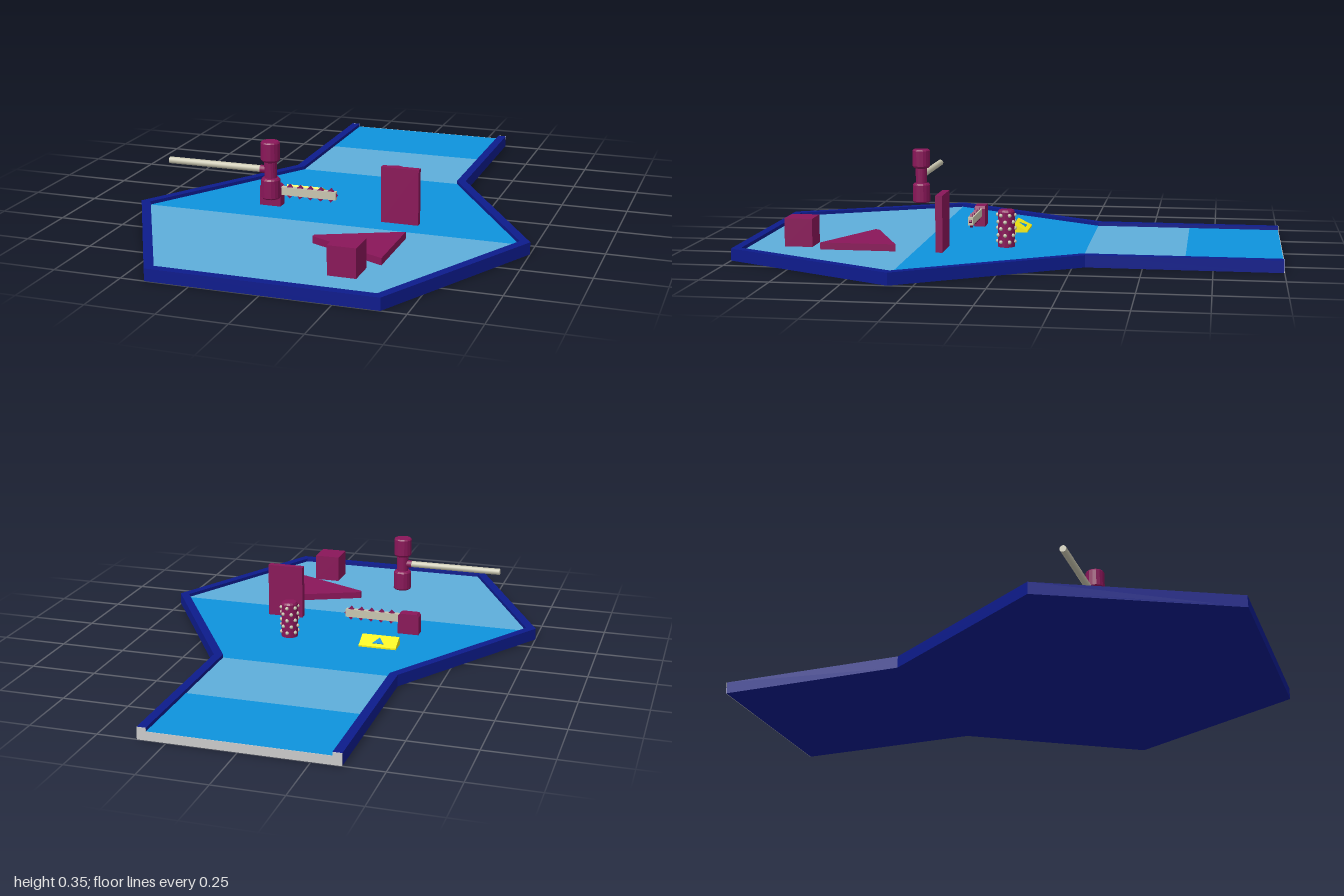
import * as THREE from 'three';

const mat = (color) => new THREE.MeshStandardMaterial({ color });
const flat = (color) => new THREE.MeshStandardMaterial({ color, flatShading: true });

export function createModel() {
  const root = new THREE.Group();
  const navy = flat(0x0d1b8c), deep = flat(0x0e93dd), pale = flat(0x5eaedb), grey = flat(0xcccccc);
  const plum = flat(0x8a1659), plumRound = mat(0x8a1659), cream = mat(0xc9c6b0), yellow = flat(0xf7ee14);
  const FLOOR = 0.032, RIM = 0.045;

  const add = (parent, name, geo, material, x = 0, y = 0, z = 0) => {
    const m = new THREE.Mesh(geo, material);
    m.name = name;
    m.position.set(x, y, z);
    parent.add(m);
    return m;
  };
  const group = (name, x = 0, y = 0, z = 0) => {
    const g = new THREE.Group();
    g.name = name;
    g.position.set(x, y, z);
    root.add(g);
    return g;
  };
  // Horizontal slab from a plan outline of [x, z] points
  const slab = (points, height) => {
    const shape = new THREE.Shape(points.map(([x, z]) => new THREE.Vector2(x, -z)));
    return new THREE.ExtrudeGeometry(shape, { depth: height, bevelEnabled: false }).rotateX(-Math.PI / 2);
  };
  const mirrored = (half) => [...half, ...half.map(([x, z]) => [-x, z]).reverse()];
  const box = (w, h, d) => new THREE.BoxGeometry(w, h, d);

  // Tray: base, raised rim open at the back, banded floor
  const tray = group('tray');
  const outer = [[0.355, -0.998], [0.355, -0.295], [0.75, 0.338], [0.412, 1]];
  const inner = [[0.322, -0.998], [0.322, -0.285], [0.712, 0.338], [0.391, 0.967]];
  add(tray, 'base', slab(mirrored(outer), 0.006), navy);
  const rimOutline = [...mirrored(outer), ...mirrored(inner).reverse()];
  add(tray, 'rim', slab(rimOutline, RIM), navy);
  const bands = [[0.322, -0.998], [0.322, -0.65], ...inner.slice(1)];
  for (let i = 0; i < bands.length - 1; i++) {
    const outline = mirrored([bands[i], bands[i + 1]]);
    add(tray, 'floorBand', slab(outline, FLOOR - 0.004), i % 2 ? pale : deep, 0, 0.004, 0);
  }
  // Cut end faces at the open back
  add(tray, 'endFace', box(0.644, FLOOR, 0.002), grey, 0, FLOOR / 2, -0.999);
  for (const s of [-1, 1]) add(tray, 'rimEnd', box(0.033, RIM, 0.002), grey, s * 0.3385, RIM / 2, -0.999);

  // Loose blocks
  add(root, 'cube', box(0.102, 0.106, 0.106), plum, 0.226, FLOOR + 0.053, 0.784);
  add(root, 'standingPanel', box(0.142, 0.21, 0.026), plum, 0.248, FLOOR + 0.105, 0.243);
  const wedge = [[0.02, 0.537], [0.317, 0.405], [0.317, 0.69], [0.02, 0.553]];
  add(root, 'triangleSlab', slab(wedge, 0.026), plum, 0, FLOOR, 0);

  // Ramp with an arrow mark on its slope
  const ramp = group('ramp', -0.203, FLOOR, 0);
  const profile = new THREE.Shape([[0.022, 0], [0.022, 0.006], [-0.033, 0.034], [-0.05, 0]]
    .map((p) => new THREE.Vector2(...p)));
  const rampGeo = new THREE.ExtrudeGeometry(profile, { depth: 0.146, bevelEnabled: false });
  add(ramp, 'rampBody', rampGeo.rotateY(Math.PI / 2).translate(-0.073, 0, 0), yellow);
  const arrow = add(ramp, 'rampArrow', slab([[-0.022, -0.016], [0.022, -0.016], [0, 0.016]], 0.002), deep, 0, 0.0205, 0.006);
  arrow.rotation.x = -Math.atan2(0.028, 0.055);

  // Studded post
  const post = group('studdedPost', 0.16, FLOOR, 0.018);
  const postProfile = [[0, 0], [0.032, 0], [0.032, 0.132], [0.027, 0.139], [0, 0.139]]
    .map((p) => new THREE.Vector2(...p));
  add(post, 'postBody', new THREE.LatheGeometry(postProfile, 16), plum);
  const studGeo = new THREE.SphereGeometry(0.0075, 8, 6);
  for (let row = 0; row < 5; row++) {
    for (let k = 0; k < 6; k++) {
      const a = (k + (row % 2) / 2) * Math.PI / 3;
      add(post, 'stud', studGeo, cream, 0.032 * Math.sin(a), 0.02 + row * 0.025, 0.032 * Math.cos(a));
    }
  }

  // Saw: chamfered grip, bar and diamond teeth
  const saw = group('saw', 0, 0, 0.185);
  const gripShape = new THREE.Shape([[-0.319, FLOOR], [-0.236, FLOOR], [-0.236, 0.105], [-0.245, 0.114],
    [-0.31, 0.114], [-0.319, 0.105]].map((p) => new THREE.Vector2(...p)));
  const gripGeo = new THREE.ExtrudeGeometry(gripShape, { depth: 0.042, bevelEnabled: false });
  add(saw, 'sawGrip', gripGeo, plum, 0, 0, -0.021);
  add(saw, 'sawBar', box(0.256, 0.031, 0.02), flat(0xc9c6b0), -0.148, 0.0905, 0);
  for (let i = 0; i < 5; i++) {
    const tooth = add(saw, 'sawTooth', box(0.039, 0.039, 0.01), plum, -0.205 + i * 0.041, 0.0905, 0);
    tooth.rotation.z = Math.PI / 4;
  }

  // Mallet: waisted head with a long side handle
  const mallet = group('mallet', -0.19, 0.241, 0.412);
  const headProfile = [[0, -0.106], [0.031, -0.106], [0.035, -0.101], [0.035, -0.036], [0.03, -0.03],
    [0.023, -0.028], [0.023, 0.03], [0.03, 0.033], [0.035, 0.04], [0.035, 0.101], [0.031, 0.106], [0, 0.106]]
    .map((p) => new THREE.Vector2(...p));
  add(mallet, 'malletHead', new THREE.LatheGeometry(headProfile, 16), plum);
  const rod = (r, len) => new THREE.CylinderGeometry(r, r, len, 16).rotateZ(Math.PI / 2);
  add(mallet, 'malletCollar', rod(0.0145, 0.038), plumRound, -0.019, 0, 0);
  add(mallet, 'malletHandle', rod(0.0125, 0.377), cream, -0.2085, 0, 0);

  return root;
}
